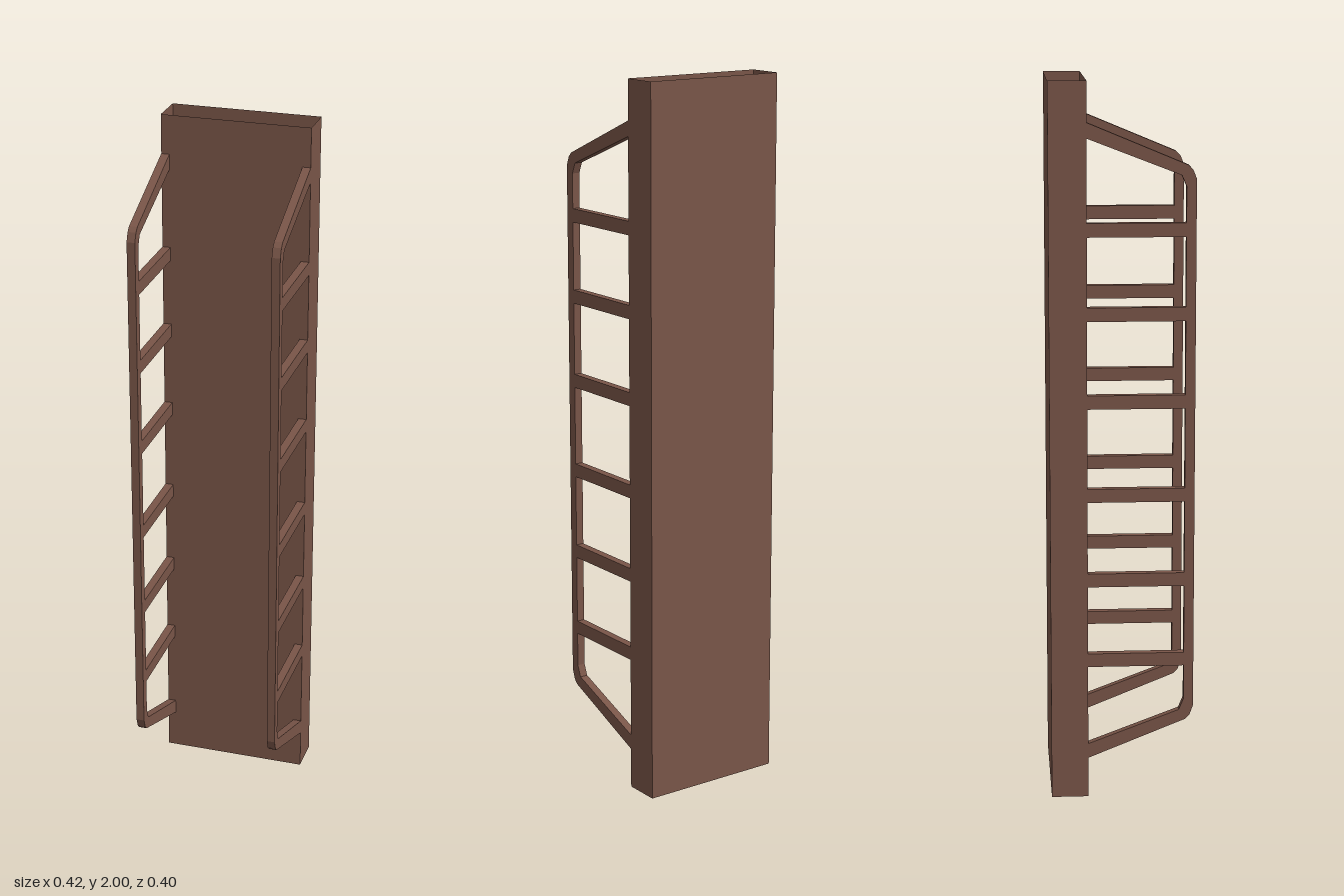
import * as THREE from 'three';

export function createModel() {
  const group = new THREE.Group();
  const brown = new THREE.MeshStandardMaterial({ color: 0x795548, side: THREE.DoubleSide, flatShading: true });
  brown.name = 'brown';

  const W = 0.418, BACK = -0.197, FRONT = -0.094, BAR = 0.023;
  const add = (parent, geometry, name, x, y, z) => {
    const mesh = new THREE.Mesh(geometry, brown);
    mesh.name = name;
    mesh.position.set(x, y, z);
    parent.add(mesh);
    return mesh;
  };

  // Hollow column: four thin walls, open at top and bottom
  const column = new THREE.Group();
  column.name = 'column';
  group.add(column);
  const depth = FRONT - BACK, midZ = (FRONT + BACK) / 2;
  add(column, new THREE.PlaneGeometry(W, 2), 'frontWall', 0, 1, FRONT);
  add(column, new THREE.PlaneGeometry(W, 2), 'backWall', 0, 1, BACK).rotation.y = Math.PI;
  for (const s of [-1, 1]) {
    add(column, new THREE.PlaneGeometry(depth, 2), s > 0 ? 'leftWall' : 'rightWall', s * W / 2, 1, midZ)
      .rotation.y = s * Math.PI / 2;
  }

  // Bent side rail outline, as [z, y]
  const outline = [
    [FRONT, 0.115], [0.178, 0.225], [0.19, 0.237], [0.2, 0.265],
    [0.2, 1.74], [0.19, 1.765], [0.178, 1.777], [FRONT, 1.89],
    [FRONT, 1.848], [0.16, 1.75], [0.173, 1.72],
    [0.173, 0.285], [0.16, 0.253], [FRONT, 0.157],
  ].map(([z, y]) => new THREE.Vector2(z, y));
  const railGeometry = new THREE.ExtrudeGeometry(new THREE.Shape(outline), { depth: BAR, bevelEnabled: false });
  railGeometry.translate(0, 0, -BAR / 2).rotateY(-Math.PI / 2);

  // Short bars joining each rail to the column
  const barLength = 0.174 - FRONT;
  const barGeometry = new THREE.BoxGeometry(BAR, 0.038, barLength);
  const barHeights = [0.402, 0.633, 0.874, 1.135, 1.376, 1.604];

  for (const s of [-1, 1]) {
    const side = new THREE.Group();
    side.name = s > 0 ? 'leftRack' : 'rightRack';
    side.position.x = s * (W - BAR) / 2;
    group.add(side);
    add(side, railGeometry, 'rail', 0, 0, 0);
    for (const y of barHeights) add(side, barGeometry, 'crossBar', 0, y, FRONT + barLength / 2);
  }
  return group;
}
